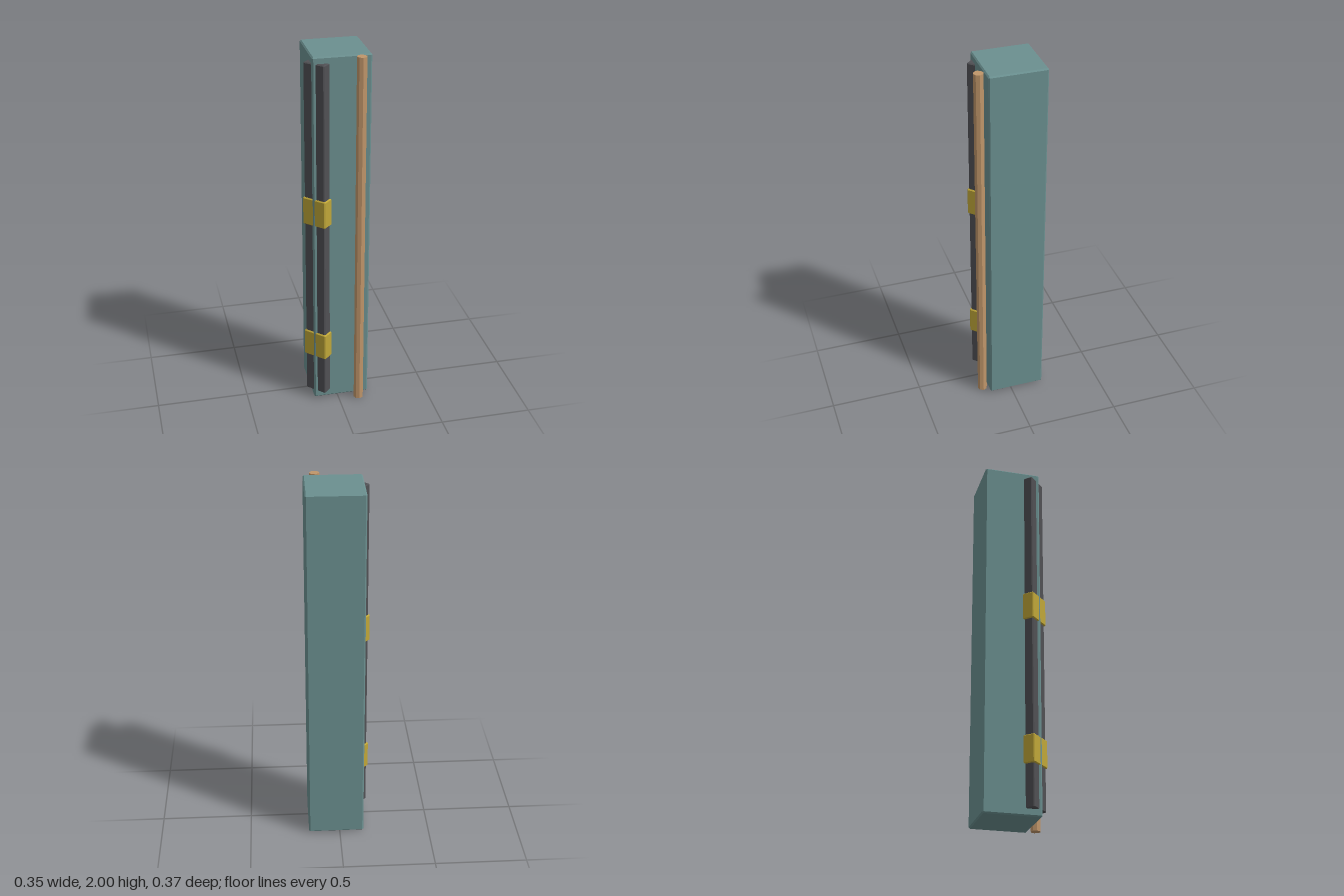
import * as THREE from 'three';
import { ConvexGeometry } from 'three/addons/geometries/ConvexGeometry.js';

const material = (color) => new THREE.MeshStandardMaterial({ color, flatShading: true });

// Box with every edge cut by a flat chamfer c
function chamferBox(w, h, d, c) {
  const points = [];
  for (const sx of [-1, 1]) for (const sy of [-1, 1]) for (const sz of [-1, 1]) {
    const x = w / 2, y = h / 2, z = d / 2;
    for (const [px, py, pz] of [[x, y - c, z - c], [x - c, y, z - c], [x - c, y - c, z]]) {
      points.push(new THREE.Vector3(sx * px, sy * py, sz * pz));
    }
  }
  return new ConvexGeometry(points);
}

export function createModel() {
  const group = new THREE.Group();
  const add = (name, geometry, mat, x, y, z, turn = 0) => {
    const mesh = new THREE.Mesh(geometry, mat);
    mesh.name = name;
    mesh.position.set(x, y, z);
    mesh.rotation.y = turn;
    group.add(mesh);
  };

  // Main square column
  add('column', chamferBox(0.306, 1.993, 0.308, 0.007), material(0x6b9090), 0.02, 1.0035, -0.031);

  // Dark corner guard, turned 45 degrees and sunk into the column's corner
  add('cornerGuard', chamferBox(0.124, 1.92, 0.124, 0.005), material(0x505054), -0.08, 1.005, 0.07, Math.PI / 4);

  // Yellow bands around the guard
  const yellow = material(0xbfa638);
  for (const y of [0.352, 1.157]) {
    add('band', chamferBox(0.138, 0.153, 0.138, 0.005), yellow, -0.08, y, 0.07, Math.PI / 4);
  }

  // Free-standing pipe in front of the column
  add('pipe', new THREE.CylinderGeometry(0.0265, 0.0265, 2, 8), material(0xc0966a), 0.112, 1, 0.155);

  return group;
}
